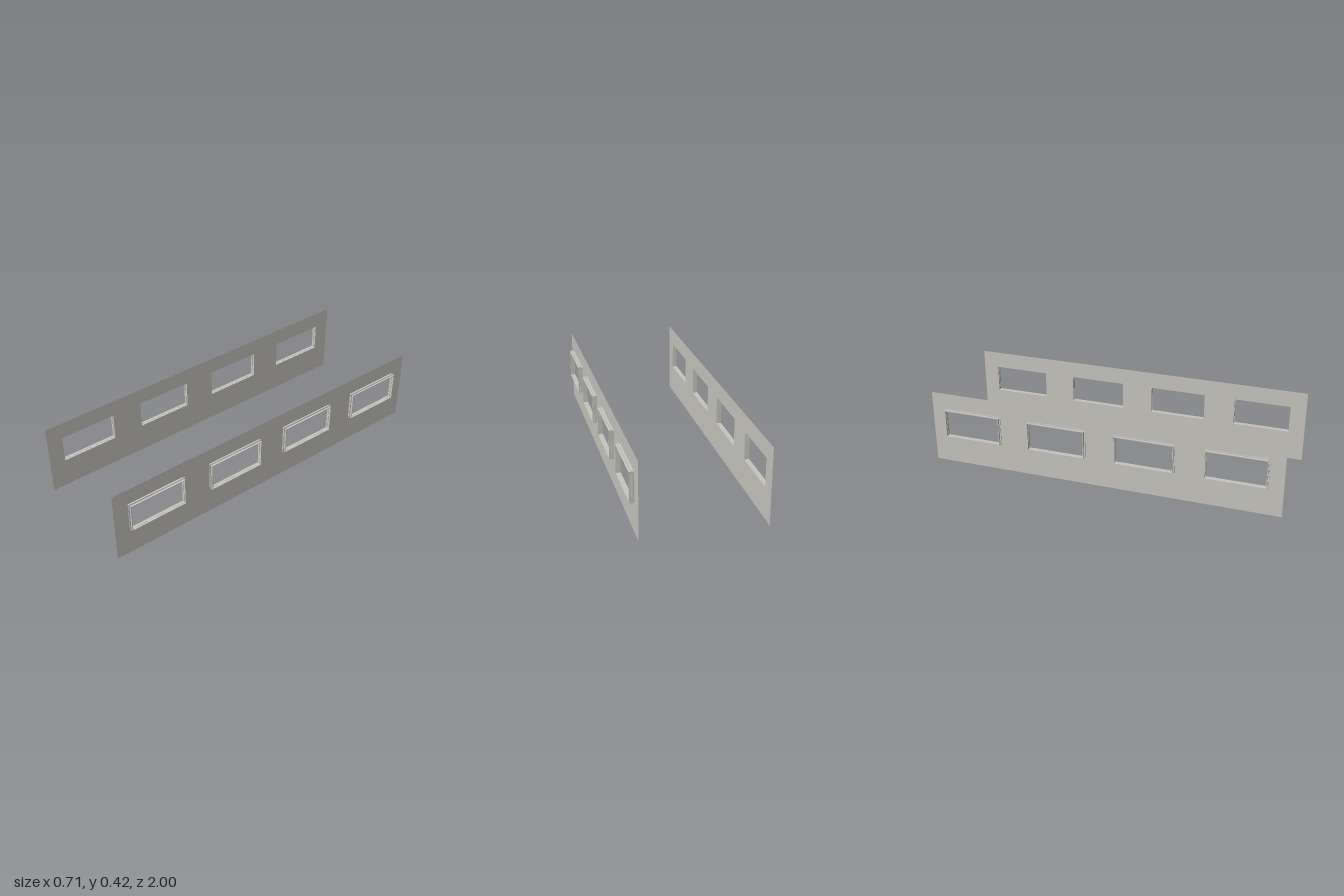
import * as THREE from 'three';

const WALL_X = 0.328, WALL_H = 0.42, LENGTH = 2;
const WINDOW_Y = 0.247, HALF_W = 0.165, HALF_H = 0.081;
const WINDOW_Z = [-0.75, -0.25, 0.25, 0.75];

function rect(target, cx, cy, hw, hh) {
  target.moveTo(cx - hw, cy - hh);
  target.lineTo(cx + hw, cy - hh);
  target.lineTo(cx + hw, cy + hh);
  target.lineTo(cx - hw, cy + hh);
  target.closePath();
  return target;
}

// Rectangular ring, centred on its own depth and turned to face along x
function ring(outerW, outerH, innerW, innerH, depth) {
  const shape = rect(new THREE.Shape(), 0, 0, outerW, outerH);
  shape.holes.push(rect(new THREE.Path(), 0, 0, innerW, innerH));
  const geo = new THREE.ExtrudeGeometry(shape, { depth, bevelEnabled: false });
  return geo.translate(0, 0, -depth / 2).rotateY(Math.PI / 2);
}

export function createModel() {
  const model = new THREE.Group();
  model.name = 'windowWalls';
  const plaster = new THREE.MeshStandardMaterial({ color: 0xc6c5be, side: THREE.DoubleSide });
  plaster.name = 'palePlaster';

  // Thin wall sheet with four window openings
  const wallShape = rect(new THREE.Shape(), 0, WALL_H / 2, LENGTH / 2, WALL_H / 2);
  for (const z of WINDOW_Z) {
    wallShape.holes.push(rect(new THREE.Path(), z, WINDOW_Y, HALF_W - 0.002, HALF_H - 0.002));
  }
  const wallGeo = new THREE.ShapeGeometry(wallShape).rotateY(Math.PI / 2);

  // Reveal standing out from the wall, and the narrow flange around its middle
  const revealGeo = ring(HALF_W, HALF_H, HALF_W - 0.004, HALF_H - 0.003, 0.027);
  const flangeGeo = ring(HALF_W + 0.006, HALF_H + 0.006, HALF_W - 0.006, HALF_H - 0.004, 0.004);

  for (const side of [-1, 1]) {
    const group = new THREE.Group();
    group.name = side > 0 ? 'leftWall' : 'rightWall';

    const wall = new THREE.Mesh(wallGeo, plaster);
    wall.name = 'wallPanel';
    wall.position.x = side * WALL_X;
    group.add(wall);

    for (const z of WINDOW_Z) {
      for (const [name, geo] of [['windowReveal', revealGeo], ['windowFlange', flangeGeo]]) {
        const mesh = new THREE.Mesh(geo, plaster);
        mesh.name = name;
        mesh.position.set(side * (WALL_X + 0.0135), WINDOW_Y, z);
        group.add(mesh);
      }
    }
    model.add(group);
  }
  return model;
}
